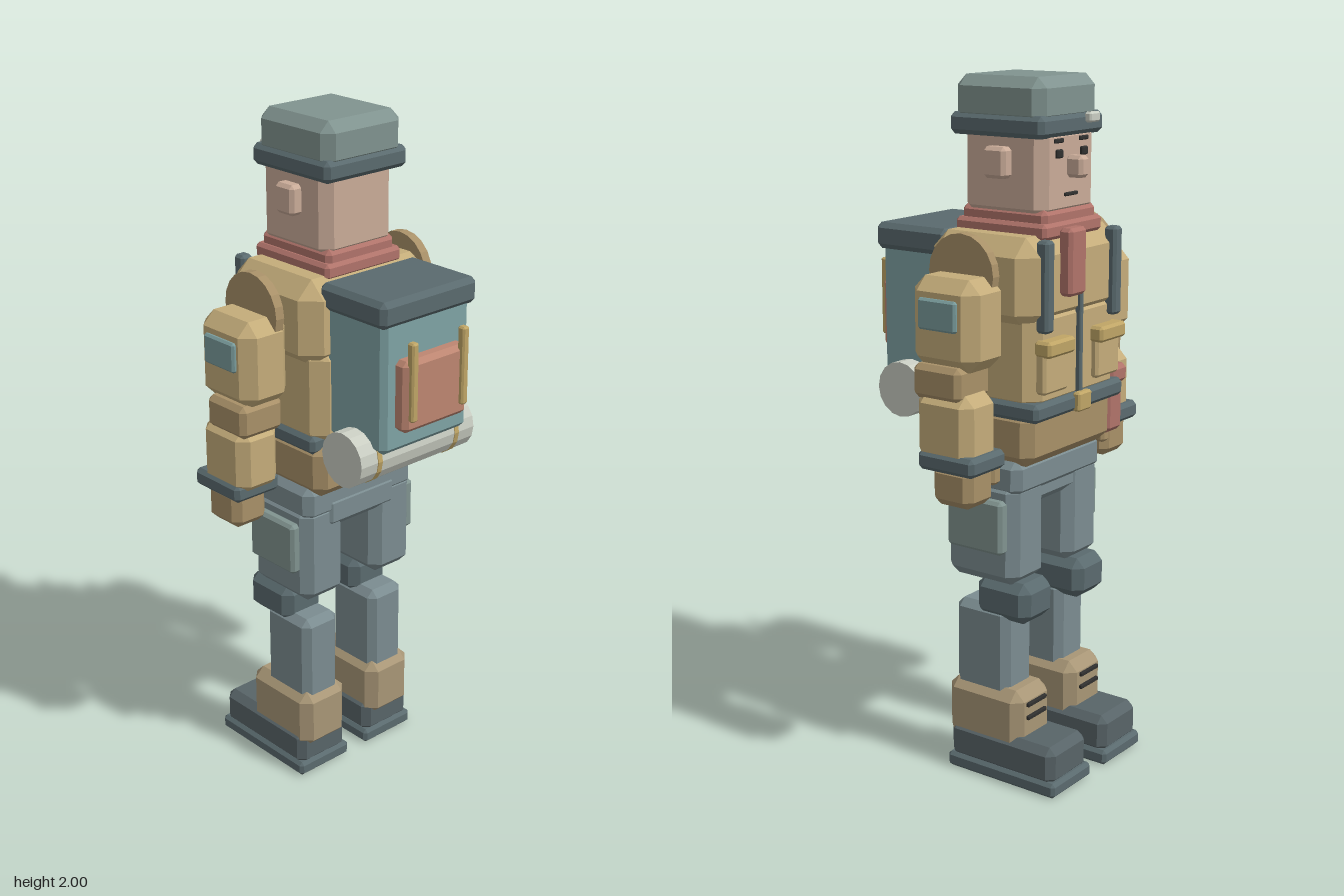
import * as THREE from 'three';
import { ConvexGeometry } from 'three/addons/geometries/ConvexGeometry.js';

const C = {
  cap: 0x80938f, dark: 0x5a6a6e, skin: 0xc9ab98, scarf: 0xb0736a, jacket: 0xc4ac7a,
  hem: 0xa89068, trousers: 0x7b8c90, boot: 0x586468, gaiter: 0xa89676, pack: 0x7fa3a4,
  pocket: 0xbd8671, strap: 0xbfa566, roll: 0xc9cdc2, patch: 0x7a9c9c, ink: 0x30302f,
};
const mats = {};
const mat = (key) => (mats[key] ??= new THREE.MeshStandardMaterial({ color: C[key], flatShading: true }));

// Box with every edge bevelled, given its ranges along x, y and z
function block(parent, name, key, [x0, x1], [y0, y1], [z0, z1], bevel = 0.01) {
  const h = [Math.abs(x1 - x0) / 2, (y1 - y0) / 2, Math.abs(z1 - z0) / 2];
  const c = Math.min(bevel, 0.45 * Math.min(...h));
  const pts = [];
  for (const sx of [-1, 1]) for (const sy of [-1, 1]) for (const sz of [-1, 1])
    for (let k = 0; k < 3; k++) {
      const e = h.map((v, i) => (i === k ? v : v - c));
      pts.push(new THREE.Vector3(sx * e[0], sy * e[1], sz * e[2]));
    }
  const mesh = new THREE.Mesh(new ConvexGeometry(pts), mat(key));
  mesh.name = name;
  mesh.position.set((x0 + x1) / 2, (y0 + y1) / 2, (z0 + z1) / 2);
  parent.add(mesh);
  return mesh;
}

// Cylinder lying along x
function rod(parent, name, key, r, [x0, x1], y, z, sides) {
  const mesh = new THREE.Mesh(new THREE.CylinderGeometry(r, r, x1 - x0, sides), mat(key));
  mesh.name = name;
  mesh.rotation.z = Math.PI / 2;
  mesh.position.set((x0 + x1) / 2, y, z);
  parent.add(mesh);
}

function group(parent, name) {
  const g = new THREE.Group();
  g.name = name;
  parent.add(g);
  return g;
}

function addHead(root) {
  const g = group(root, 'head');
  block(g, 'face', 'skin', [-0.13, 0.13], [1.62, 1.87], [-0.235, 0.04], 0.03);
  block(g, 'capCrown', 'cap', [-0.142, 0.142], [1.87, 2], [-0.235, 0.062], 0.03);
  block(g, 'capBand', 'dark', [-0.15, 0.15], [1.84, 1.9], [-0.245, 0.068], 0.014);
  block(g, 'capBadge', 'roll', [-0.105, -0.055], [1.872, 1.9], [-0.262, -0.24], 0.005);
  block(g, 'nose', 'skin', [-0.022, 0.022], [1.73, 1.79], [-0.285, -0.23], 0.012);
  block(g, 'mouth', 'ink', [-0.03, 0.03], [1.68, 1.69], [-0.241, -0.23], 0.002);
  block(g, 'scarf', 'scarf', [-0.125, 0.125], [1.57, 1.65], [-0.24, 0.045], 0.014);
  block(g, 'scarfFold', 'scarf', [-0.14, 0.14], [1.57, 1.615], [-0.25, 0.055], 0.012);
  block(g, 'scarfTail', 'scarf', [0.02, 0.1], [1.42, 1.605], [-0.308, -0.265], 0.01);
  for (const s of [-1, 1]) {
    block(g, 'ear', 'skin', [s * 0.12, s * 0.165], [1.73, 1.815], [-0.132, -0.058], 0.012);
    block(g, 'eye', 'ink', [s * 0.045, s * 0.073], [1.785, 1.808], [-0.244, -0.23], 0.003);
    block(g, 'eyebrow', 'ink', [s * 0.038, s * 0.08], [1.825, 1.837], [-0.241, -0.23], 0.003);
  }
}

function addTorso(root) {
  const g = group(root, 'torso');
  block(g, 'chest', 'jacket', [-0.235, 0.235], [1.33, 1.585], [-0.27, 0.092], 0.05);
  block(g, 'waist', 'jacket', [-0.208, 0.208], [1.1, 1.4], [-0.265, 0.095], 0.04);
  block(g, 'jacketHem', 'hem', [-0.21, 0.21], [0.95, 1.11], [-0.25, 0.098], 0.03);
  block(g, 'belt', 'dark', [-0.217, 0.217], [1.085, 1.137], [-0.28, 0.075], 0.014);
  block(g, 'beltBuckle', 'strap', [-0.032, 0.032], [1.085, 1.14], [-0.295, -0.27], 0.008);
  block(g, 'zip', 'dark', [-0.008, 0.008], [1.13, 1.55], [-0.279, -0.26], 0.003);
  block(g, 'hipPouch', 'scarf', [-0.272, -0.19], [0.965, 1.13], [-0.245, -0.14], 0.014);
  block(g, 'hipPouchFlap', 'scarf', [-0.28, -0.19], [1.11, 1.165], [-0.255, -0.13], 0.014);
  for (const s of [-1, 1]) {
    block(g, 'harnessStrap', 'dark', [s * 0.145, s * 0.185], [1.33, 1.58], [-0.29, -0.25], 0.008);
    block(g, 'chestPocket', 'jacket', [s * 0.07, s * 0.185], [1.16, 1.29], [-0.285, -0.25], 0.01);
    block(g, 'pocketFlap', 'strap', [s * 0.063, s * 0.19], [1.265, 1.31], [-0.304, -0.25], 0.008);
    rod(g, 'shoulderRoll', 'hem', 0.108, [s * 0.28 - 0.014, s * 0.28 + 0.014], 1.49, -0.085, 20);
  }
}

function addBackpack(root) {
  const g = group(root, 'backpack');
  block(g, 'packBody', 'pack', [-0.163, 0.163], [1.14, 1.53], [0.07, 0.302], 0.016);
  block(g, 'packLid', 'dark', [-0.178, 0.178], [1.505, 1.58], [0.06, 0.315], 0.015);
  block(g, 'packPocket', 'pocket', [-0.12, 0.12], [1.205, 1.41], [0.28, 0.342], 0.014);
  rod(g, 'bedRoll', 'roll', 0.08, [-0.217, 0.217], 1.115, 0.196, 16);
  for (const s of [-1, 1]) {
    block(g, 'packStrap', 'strap', [s * 0.083, s * 0.107], [1.24, 1.465], [0.33, 0.355], 0.005);
    rod(g, 'bedRollStrap', 'strap', 0.082, [s * 0.148 - 0.008, s * 0.148 + 0.008], 1.115, 0.196, 16);
  }
}

function addArm(root, s) {
  const g = group(root, s > 0 ? 'leftArm' : 'rightArm');
  const part = (name, key, x, y, z, b) => block(g, name, key, x.map((v) => v * s), y, z, b);
  part('upperArm', 'jacket', [0.232, 0.396], [1.24, 1.49], [-0.2, 0.02], 0.04);
  part('sleevePatch', 'patch', [0.38, 0.408], [1.352, 1.437], [-0.152, -0.025], 0.008);
  part('elbow', 'hem', [0.255, 0.402], [1.16, 1.255], [-0.158, 0.002], 0.015);
  part('forearm', 'jacket', [0.26, 0.404], [0.985, 1.18], [-0.19, -0.002], 0.03);
  part('cuff', 'dark', [0.255, 0.412], [0.965, 1.018], [-0.21, -0.02], 0.012);
  part('hand', 'hem', [0.272, 0.392], [0.865, 0.98], [-0.185, -0.05], 0.022);
  part('thumb', 'hem', [0.252, 0.29], [0.915, 0.975], [-0.19, -0.135], 0.01);
}

function addLeg(root, s) {
  const g = group(root, s > 0 ? 'leftLeg' : 'rightLeg');
  const part = (name, key, x, y, z, b) => block(g, name, key, x.map((v) => v * s), y, z, b);
  part('thigh', 'trousers', [0.055, 0.215], [0.595, 0.9], [-0.205, 0.042], 0.03);
  part('thighPocket', 'cap', [0.2, 0.242], [0.695, 0.85], [-0.178, 0.012], 0.012);
  part('kneePad', 'dark', [0.06, 0.207], [0.485, 0.605], [-0.24, -0.055], 0.028);
  part('shin', 'trousers', [0.066, 0.2], [0.2, 0.52], [-0.168, 0.02], 0.022);
  part('gaiter', 'gaiter', [0.048, 0.22], [0.09, 0.28], [-0.225, 0.038], 0.03);
  for (const y of [0.2, 0.24]) part('lace', 'ink', [0.09, 0.18], [y - 0.006, y + 0.006], [-0.234, -0.215], 0.002);
  part('boot', 'boot', [0.04, 0.226], [0.03, 0.145], [-0.345, 0.022], 0.022);
  part('sole', 'dark', [0.035, 0.23], [0, 0.045], [-0.355, 0.026], 0.01);
}

export function createModel() {
  const root = new THREE.Group();
  root.name = 'explorerFigure';
  addHead(root);
  addTorso(root);
  addBackpack(root);
  block(root, 'pelvis', 'trousers', [-0.21, 0.21], [0.855, 0.965], [-0.213, 0.046], 0.025);
  block(root, 'crotch', 'trousers', [-0.14, 0.14], [0.815, 0.92], [-0.2, 0.05], 0.03);
  for (const s of [-1, 1]) {
    addArm(root, s);
    addLeg(root, s);
  }
  return root;
}
